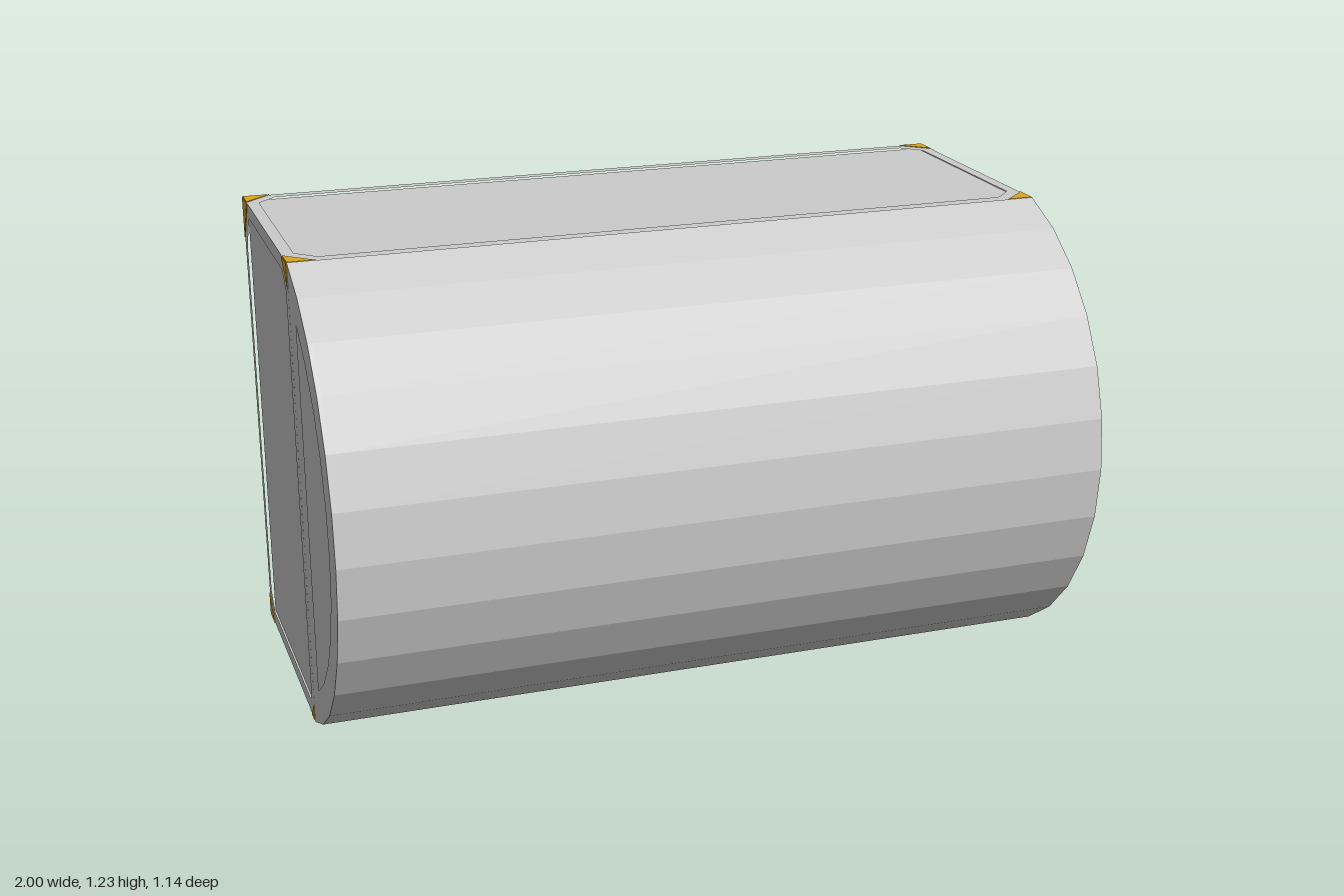
import * as THREE from 'three';

const grey = new THREE.MeshStandardMaterial({ color: 0xcccccc, flatShading: true });
const gold = new THREE.MeshStandardMaterial({ color: 0xdaa520, flatShading: true });
const dark = new THREE.MeshStandardMaterial({ color: 0x111111, flatShading: true });

// Main extents
const X0 = -0.998, X1 = 0.99, Y0 = 0.014, Y1 = 1.234, Z0 = -0.57, Z1 = 0.12;
const DEPTH = 0.012, MID_Y = 0.622, THIN = 0.002;

const toPath = (points, Type = THREE.Shape) => new Type(points.map(([a, b]) => new THREE.Vector2(a, b)));

function slab(points, hole, depth) {
  const shape = toPath(points);
  if (hole) shape.holes.push(toPath(hole, THREE.Path));
  return new THREE.ExtrudeGeometry(shape, { depth, bevelEnabled: false, curveSegments: 12 });
}

// Outline of [z, y] points, extruded from x to x + depth
function alongX(points, x, depth, hole) {
  const flip = (list) => list && list.map(([z, y]) => [-z, y]);
  return slab(flip(points), flip(hole), depth).rotateY(Math.PI / 2).translate(x, 0, 0);
}

// Outline of [x, z] points, extruded from y to y + depth
function alongY(points, y, depth, hole) {
  const flip = (list) => list && list.map(([x, z]) => [x, -z]);
  return slab(flip(points), flip(hole), depth).rotateX(-Math.PI / 2).translate(0, y, 0);
}

const rect = (a0, a1, b0, b1) => [[a0, b0], [a1, b0], [a1, b1], [a0, b1]];

// Rectangle with cut corners
const cutRect = (a0, a1, b0, b1, c) => [
  [a0 + c, b0], [a1 - c, b0], [a1, b0 + c], [a1, b1 - c],
  [a1 - c, b1], [a0 + c, b1], [a0, b1 - c], [a0, b0 + c],
];

// Faceted arc of [z, y] points closed by a straight chord
function arcOutline(radius, centreZ, halfAngle, steps) {
  return Array.from({ length: steps + 1 }, (_, i) => {
    const a = -halfAngle + (2 * halfAngle * i) / steps;
    return [centreZ + radius * Math.cos(a), MID_Y + radius * Math.sin(a)];
  });
}

export function createModel() {
  const model = new THREE.Group();
  const add = (name, geometry, material = grey) => {
    const mesh = new THREE.Mesh(geometry, material);
    mesh.name = name;
    model.add(mesh);
    return mesh;
  };

  // Chest body: core with recessed panels formed by surrounding frames
  const core = new THREE.BoxGeometry(X1 - X0 - 2 * DEPTH, Y1 - Y0 - 2 * DEPTH, Z1 - Z0);
  core.translate((X0 + X1) / 2, (Y0 + Y1) / 2, (Z0 + Z1) / 2);
  add('bodyCore', core);

  const endPanel = [
    [-0.535, 0.1], [-0.49, 0.052], [0.07, 0.052], [0.085, 0.075],
    [0.085, 1.155], [0.04, 1.197], [-0.475, 1.197], [-0.535, 1.11],
  ];
  const topPanel = cutRect(-0.967, 0.959, -0.54, 0.085, 0.05);
  const endRect = rect(Z0, Z1, Y0, Y1), topRect = rect(X0, X1, Z0, Z1);
  add('rightEndFrame', alongX(endRect, X0, DEPTH, endPanel));
  add('leftEndFrame', alongX(endRect, X1 - DEPTH, DEPTH, endPanel));
  add('topFrame', alongY(topRect, Y1 - DEPTH, DEPTH, topPanel));
  add('bottomFrame', alongY(topRect, Y0, DEPTH, topPanel));

  // Rounded lid: one end panel sunk, the other raised
  const lidOutline = arcOutline(0.642, -0.07, 1.269, 12);
  const lidPanel = arcOutline(0.556, -0.066, 1.052, 10);
  add('lid', alongX(lidOutline, X0 + DEPTH, X1 - X0 - DEPTH));
  add('lidRightFrame', alongX(lidOutline, X0, DEPTH, lidPanel));
  add('lidLeftPanel', alongX(lidPanel, X1, 0.01));

  // Metal corner plates: [z, z inward, y, y inward]
  const corners = [
    [Z1, -0.07, Y1, -0.065], [Z0, 0.08, Y1, -0.11],
    [Z0, 0.07, Y0, 0.065], [Z1, -0.035, Y0, 0.04],
  ];
  for (const [z, dz, y, dy] of corners) {
    const endTriangle = [[z, y], [z + dz, y], [z, y + dy]];
    for (const x of [X0 - THIN, X1]) add('endCornerPlate', alongX(endTriangle, x, THIN), gold);
    for (const [x, dx] of [[X0, 0.07], [X1, -0.07]]) {
      const flatTriangle = [[x, z], [x + dx, z], [x, z + Math.sign(dz) * 0.065]];
      add('flatCornerPlate', alongY(flatTriangle, y === Y1 ? Y1 : Y0 - THIN, THIN), gold);
    }
  }

  // Lock plate with keyhole, slightly tilted under the seam
  const lock = new THREE.Group();
  lock.name = 'lock';
  const plate = new THREE.Mesh(new THREE.BoxGeometry(0.31, 0.004, 0.19), gold);
  plate.name = 'lockPlate';
  const keyRound = new THREE.Mesh(new THREE.CylinderGeometry(0.028, 0.028, 0.002, 10), dark);
  keyRound.name = 'keyholeRound';
  keyRound.position.set(0, -0.003, 0.035);
  const keySlot = new THREE.Mesh(new THREE.BoxGeometry(0.03, 0.002, 0.1), dark);
  keySlot.name = 'keyholeSlot';
  keySlot.position.set(0, -0.003, -0.02);
  lock.add(plate, keyRound, keySlot);
  lock.position.set(0, 0.0085, 0.025);
  lock.rotation.x = 0.035;
  model.add(lock);

  return model;
}
